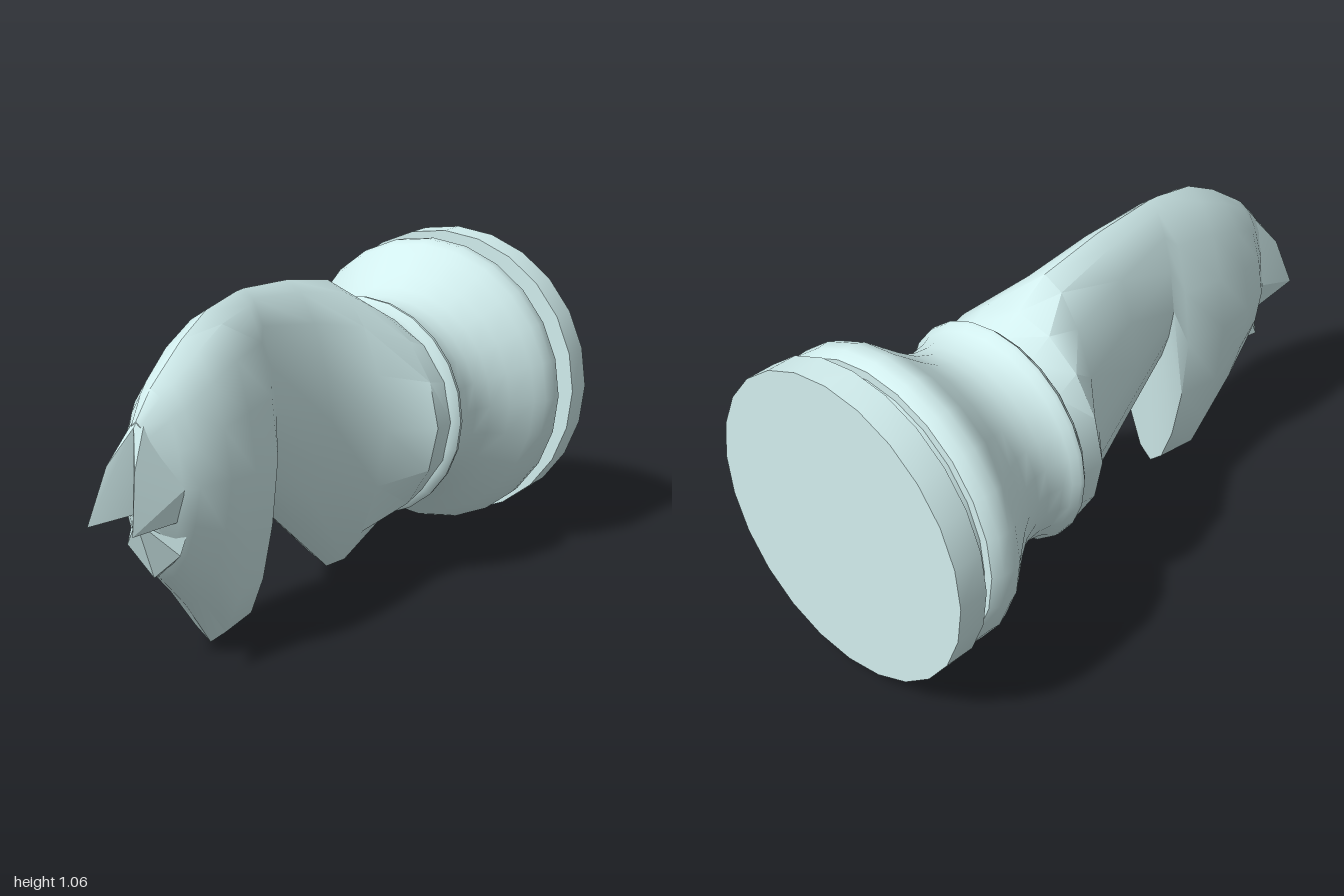
import * as THREE from 'three';
import { toCreasedNormals } from 'three/addons/utils/BufferGeometryUtils.js';
import { ConvexGeometry } from 'three/addons/geometries/ConvexGeometry.js';

const AXIS = 0.545; // height of the turned axis
const SEG = 16;

// Lofted cross-sections along z: [z, top, bottom, middle, halfWidth, pointedness]
function loft(sections) {
  const pos = [], index = [];
  for (const [z, top, bottom, mid, w, q] of sections) {
    for (let j = 0; j < SEG; j++) {
      const t = (j / SEG) * Math.PI * 2, s = Math.sin(t), c = Math.cos(t);
      const x = w * Math.sign(s) * ((1 - q) * Math.abs(s) + q * (1 - Math.abs(c)));
      pos.push(Math.abs(s) < 1e-6 ? 0 : x, mid + c * (c > 0 ? top - mid : mid - bottom), z);
    }
  }
  for (let i = 0; i < sections.length - 1; i++) {
    for (let j = 0; j < SEG; j++) {
      const k = (j + 1) % SEG;
      const a = i * SEG + j, b = i * SEG + k, c = a + SEG, d = b + SEG;
      index.push(a, c, b, b, c, d);
    }
  }
  // front cap
  const last = (sections.length - 1) * SEG, end = sections[sections.length - 1];
  pos.push(0, end[3], end[0]);
  for (let j = 0; j < SEG; j++) index.push(sections.length * SEG, last + (j + 1) % SEG, last + j);
  const g = new THREE.BufferGeometry();
  g.setAttribute('position', new THREE.Float32BufferAttribute(pos, 3));
  g.setIndex(index);
  return g;
}

const hull = (pts) => new ConvexGeometry(pts.map((p) => new THREE.Vector3(...p)));

export function createModel() {
  const group = new THREE.Group();
  const material = new THREE.MeshStandardMaterial({ color: 0xd2eeee });
  const add = (name, geometry, crease) => {
    const mesh = new THREE.Mesh(toCreasedNormals(geometry, crease), material);
    mesh.name = name;
    group.add(mesh);
  };

  // Turned pedestal, lying along z: [radius, z]
  const profile = [
    [0, -1], [0.505, -1], [0.505, -0.9], [0.447, -0.9], [0.447, -0.85], [0.475, -0.85],
    [0.492, -0.82], [0.495, -0.78], [0.482, -0.745], [0.455, -0.71], [0.4, -0.64],
    [0.36, -0.58], [0.338, -0.52], [0.333, -0.47], [0.34, -0.42], [0.352, -0.39],
    [0.368, -0.37], [0.37, -0.355], [0.352, -0.335], [0.33, -0.33], [0, -0.33],
  ].map(([r, z]) => new THREE.Vector2(r, z));
  const pedestal = new THREE.LatheGeometry(profile, 24);
  pedestal.rotateX(Math.PI / 2).translate(0, AXIS, 0);
  add('pedestal', pedestal, 0.7);

  // Neck with keeled chest, flowing into the bent head
  add('neckAndHead', loft([
    [-0.34, 0.88, 0.205, AXIS, 0.345, 0],
    [-0.25, 0.93, 0.165, AXIS, 0.345, 0.05],
    [-0.135, 1.01, 0.05, AXIS, 0.225, 0.25],
    [0.1, 1.05, 0.24, 0.62, 0.168, 0.25],
    [0.335, 1.065, 0.43, 0.7, 0.116, 0.25],
    [0.375, 1.062, 0.02, 0.57, 0.148, 0.2],
    [0.525, 1.035, 0.005, 0.57, 0.172, 0.2],
    [0.65, 0.97, 0.165, 0.58, 0.172, 0.2],
    [0.76, 0.89, 0.275, 0.58, 0.14, 0.2],
    [0.8, 0.86, 0.32, 0.58, 0.11, 0.2],
    [0.87, 0.78, 0.48, 0.6, 0.05, 0.2],
  ]), 0.75);

  // Ears: a pair of forward-pointing spikes
  for (const s of [-1, 1]) {
    add(s > 0 ? 'leftEar' : 'rightEar', hull([
      [0, 0.85, 0.8], [0, 0.765, 0.88], [s * 0.05, 0.66, 0.945], [s * 0.08, 0.49, 1],
      [s * 0.113, 0.58, 0.8], [s * 0.09, 0.48, 0.79], [0, 0.51, 0.875], [0, 0.55, 0.76],
    ]), 0.5);
  }

  // Forehead wedge below the ears
  add('brow', hull([
    [0, 0.49, 0.88], [-0.095, 0.38, 0.8], [0.095, 0.38, 0.8], [0, 0.295, 0.8],
    [0, 0.295, 0.76], [-0.1, 0.46, 0.76], [0.1, 0.46, 0.76],
  ]), 0.5);

  return group;
}
